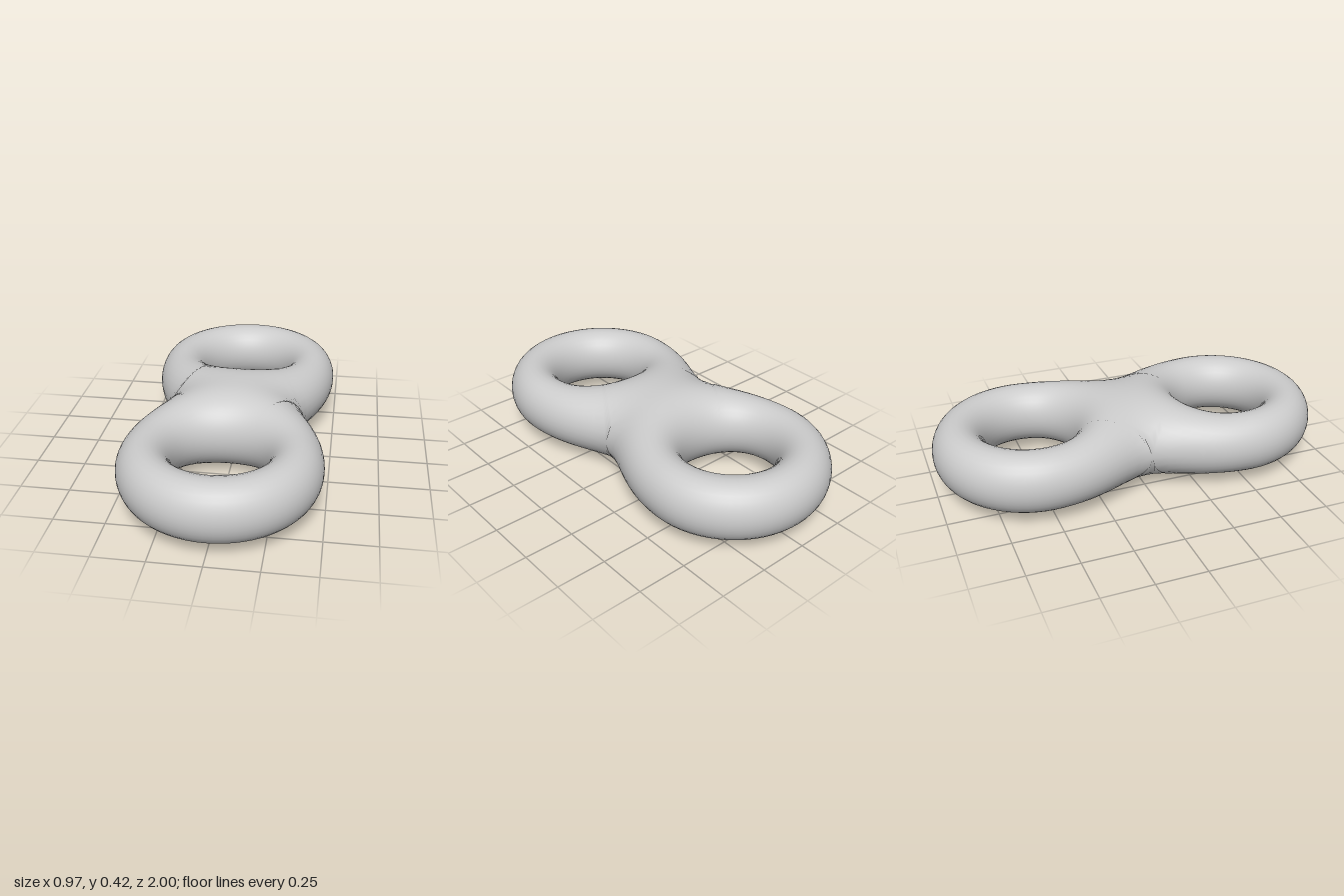
import * as THREE from 'three';

// Two elliptical-tube rings melted together at a thick waist.
const C = 0.514, R = 0.356, TUBE_W = 0.13, TUBE_H = 0.153, MID_Y = 0.207;

const ring = (x, y, z) =>
  Math.hypot((Math.hypot(x, z) - R) * TUBE_H / TUBE_W, y) - TUBE_H;

// Blended field of both rings: negative inside, zero on the skin
function field(x, y, z) {
  const a = ring(x, y, z - C), b = ring(x, y, z + C);
  const k = 0.508 + 1.14 * x * x;
  const h = Math.max(k - Math.abs(a - b), 0);
  return Math.min(a, b) - h * h / (4 * k);
}

// First distance at which f(t) leaves the solid
function exit(f) {
  const step = 0.005;
  let t = 0;
  if (f(0) >= 0) return 0;
  while (f(t + step) < 0 && t < 1) t += step;
  let lo = t, hi = t + step;
  for (let i = 0; i < 20; i++) {
    const m = (lo + hi) / 2;
    if (f(m) < 0) lo = m; else hi = m;
  }
  return lo;
}

// One half: sections fan round the hole; those facing the waist stop at z = 0
function halfGeometry() {
  const waist = exit(t => field(t, 0, 0));
  const aMax = Math.atan2(waist, C);
  const nWaist = 20, nRing = 52, nSec = 32;
  const angles = [];
  for (let i = 0; i < nWaist; i++) angles.push(-aMax + 2 * aMax * i / nWaist);
  for (let i = 0; i <= nRing; i++) angles.push(aMax + (2 * Math.PI - 2 * aMax) * i / nRing);

  const pos = [], nor = [], idx = [], e = 1e-4;
  angles.forEach((a, i) => {
    const s = Math.sin(a), c = Math.cos(a);
    const open = i <= nWaist;
    const reach = open ? C / c - R : 0;
    const height = open ? exit(t => field(s * C / c, t, 0)) : 0;
    const b0 = open ? Math.atan2(height, reach) : 0;
    for (let j = 0; j <= nSec; j++) {
      const b = b0 + (2 * Math.PI - 2 * b0) * j / nSec;
      const at = t => {
        const r = R + t * Math.cos(b);
        return [s * r, t * Math.sin(b), C - c * r];
      };
      const onSeam = open && (j === 0 || j === nSec);
      const [x, y, z] = at(onSeam ? Math.hypot(height, reach) : exit(t => field(...at(t))));
      const n = new THREE.Vector3(
        field(x + e, y, z) - field(x - e, y, z),
        field(x, y + e, z) - field(x, y - e, z),
        field(x, y, z + e) - field(x, y, z - e)).normalize();
      pos.push(x, y, z);
      nor.push(n.x, n.y, n.z);
    }
  });
  const w = nSec + 1;
  for (let i = 0; i < angles.length - 1; i++) {
    for (let j = 0; j < nSec; j++) {
      const p = i * w + j;
      idx.push(p, p + 1, p + w, p + 1, p + w + 1, p + w);
    }
  }
  const g = new THREE.BufferGeometry();
  g.setAttribute('position', new THREE.Float32BufferAttribute(pos, 3));
  g.setAttribute('normal', new THREE.Float32BufferAttribute(nor, 3));
  g.setIndex(idx);
  return g;
}

export function createModel() {
  const group = new THREE.Group();
  group.name = 'doubleRing';
  const material = new THREE.MeshStandardMaterial({ color: 0xcccccc });
  const geometry = halfGeometry();
  // The back half is the front half turned round the vertical axis
  ['frontRing', 'backRing'].forEach((name, i) => {
    const mesh = new THREE.Mesh(geometry, material);
    mesh.name = name;
    mesh.position.y = MID_Y;
    mesh.rotation.y = i * Math.PI;
    group.add(mesh);
  });
  return group;
}
